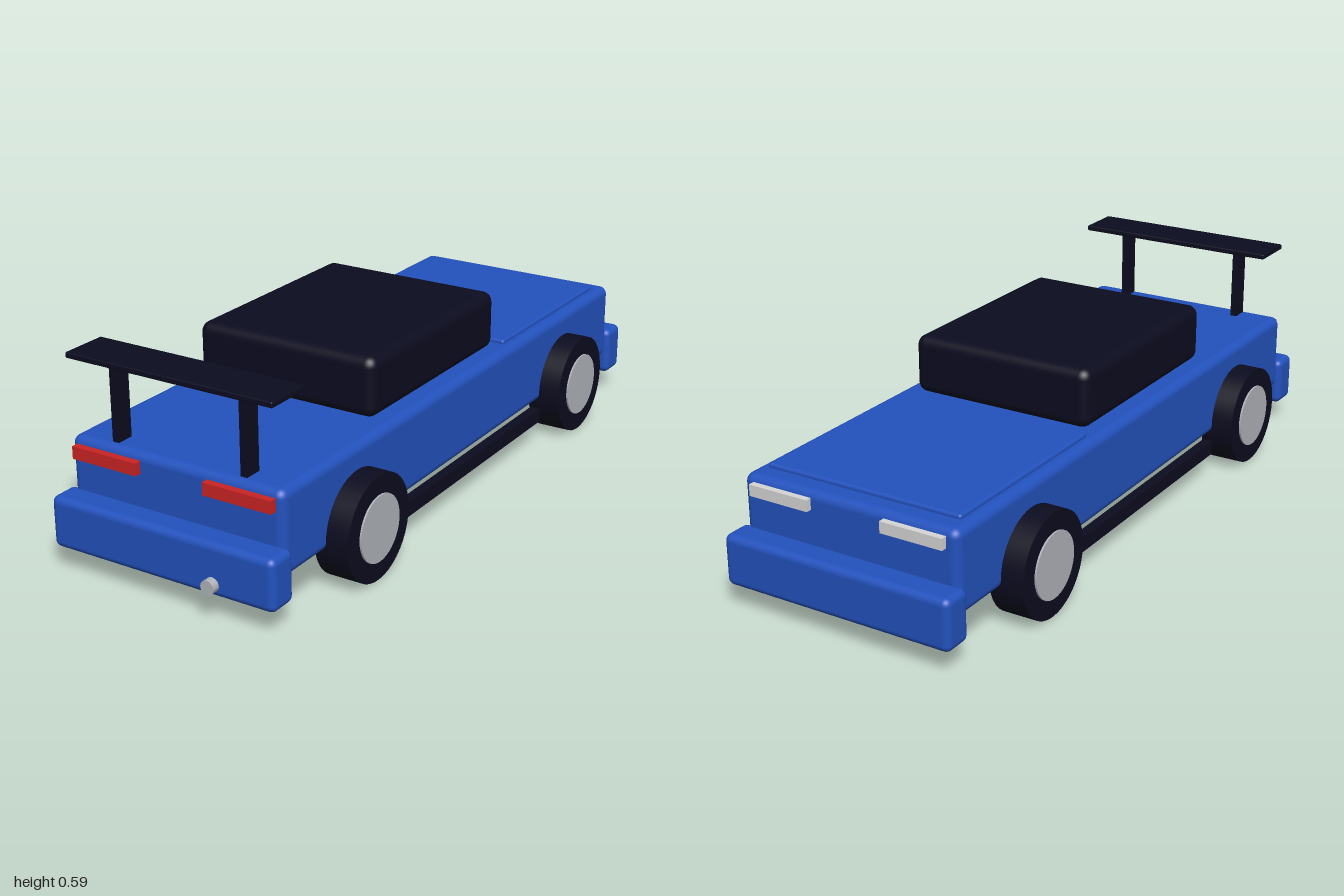
import * as THREE from 'three';
import { RoundedBoxGeometry } from 'three/addons/geometries/RoundedBoxGeometry.js';

function material(name, color) {
  const m = new THREE.MeshStandardMaterial({ color });
  m.name = name;
  return m;
}

export function createModel() {
  const car = new THREE.Group();
  car.name = 'car';

  const blue = material('blue paint', 0x2352be);
  const dark = material('dark trim', 0x0c0c20);
  const silver = material('silver rim', 0xb2b5bc);
  const red = material('red lens', 0xcc2424);
  const clear = material('pale lens', 0xd6d6d6);

  function add(name, geometry, mat, x, y, z) {
    const mesh = new THREE.Mesh(geometry, mat);
    mesh.name = name;
    mesh.position.set(x, y, z);
    car.add(mesh);
    return mesh;
  }

  // Box given by its limits on each axis, optionally with rounded edges
  function block(name, mat, [x0, x1], [y0, y1], [z0, z1], radius = 0) {
    const size = [x1 - x0, y1 - y0, z1 - z0];
    const geometry = radius
      ? new RoundedBoxGeometry(...size, 4, radius)
      : new THREE.BoxGeometry(...size);
    return add(name, geometry, mat, (x0 + x1) / 2, (y0 + y1) / 2, (z0 + z1) / 2);
  }

  // Cylinder lying along x
  function disc(name, mat, radius, width, x, y, z) {
    const geometry = new THREE.CylinderGeometry(radius, radius, width, 40).rotateZ(Math.PI / 2);
    return add(name, geometry, mat, x, y, z);
  }

  // Body shell, hood panel, cabin and bumpers
  block('body', blue, [-0.33, 0.33], [0.125, 0.36], [-0.928, 0.906], 0.025);
  block('hood', blue, [-0.298, 0.298], [0.35, 0.372], [-0.867, -0.267], 0.008);
  block('cabin', dark, [-0.281, 0.281], [0.36, 0.53], [-0.24, 0.425], 0.03);
  block('hoodEndBumper', blue, [-0.347, 0.347], [0.067, 0.212], [-1, -0.91], 0.02);
  block('wingEndBumper', blue, [-0.347, 0.347], [0.067, 0.212], [0.888, 0.978], 0.02);

  // Paired parts on both sides
  for (const [side, s] of [['left', 1], ['right', -1]]) {
    const span = (a, b) => (s > 0 ? [a, b] : [-b, -a]);

    for (const [end, z] of [['Rear', -0.597], ['Front', 0.578]]) {
      disc(`${side}${end}Tire`, dark, 0.147, 0.1, s * 0.345, 0.147, z);
      disc(`${side}${end}Rim`, silver, 0.093, 0.1, s * 0.35, 0.147, z);
    }

    block(`${side}SideSkirt`, dark, span(0.315, 0.345), [0.07, 0.112], [-0.428, 0.405]);
    block(`${side}RedLight`, red, span(0.104, 0.308), [0.305, 0.34], [0.895, 0.926]);
    block(`${side}PaleLight`, clear, span(0.112, 0.296), [0.31, 0.342], [-0.945, -0.915]);
    block(`${side}WingPost`, dark, span(0.189, 0.209), [0.355, 0.58], [0.832, 0.882]);
  }

  // Wing blade
  block('wing', dark, [-0.315, 0.315], [0.577, 0.593], [0.785, 0.922], 0.004);

  // Exhaust pipe
  const pipe = new THREE.CylinderGeometry(0.02, 0.02, 0.08, 24).rotateX(Math.PI / 2);
  add('exhaust', pipe, silver, 0.165, 0.102, 0.96);

  return car;
}
